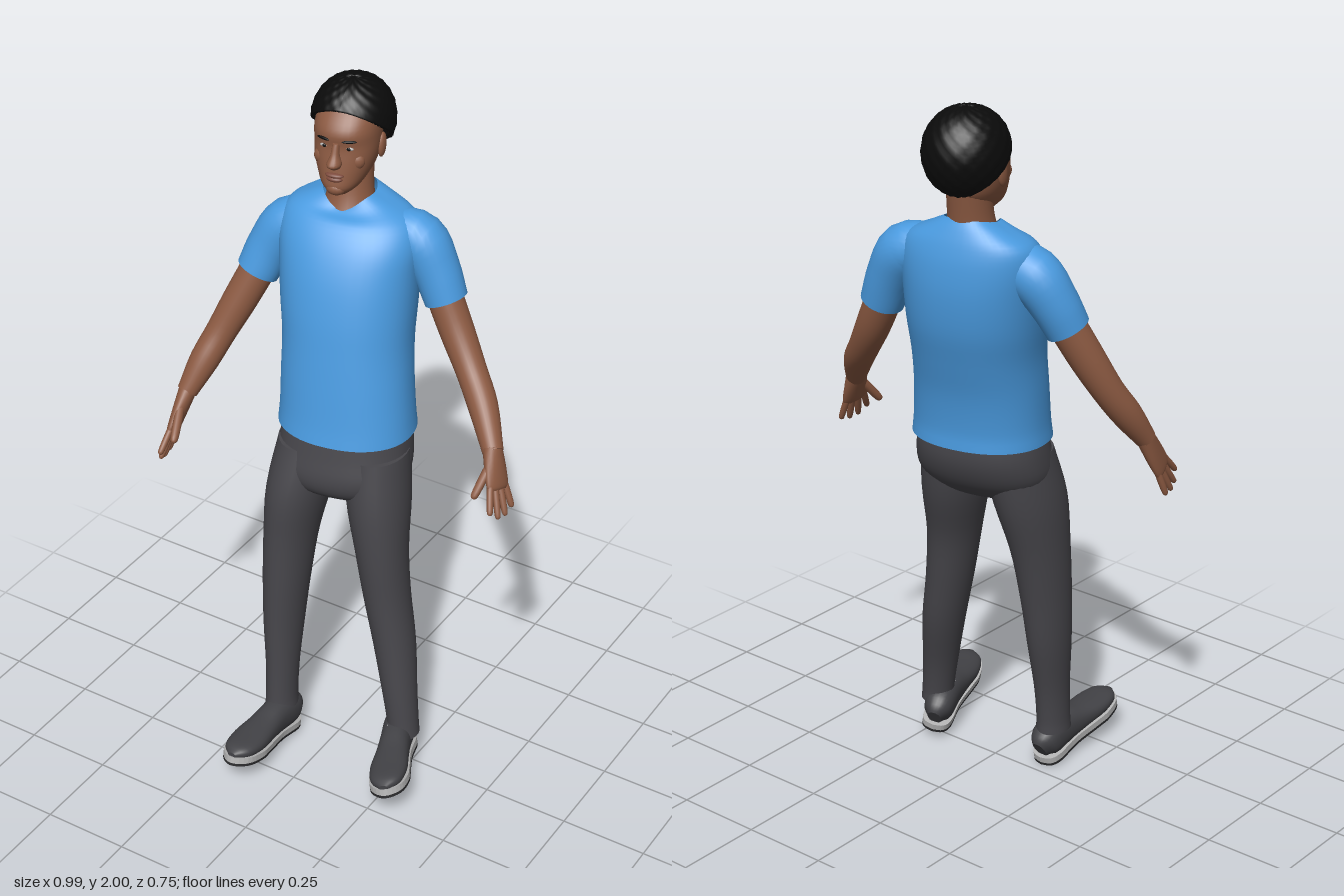
import * as THREE from 'three';

const V3 = (p) => new THREE.Vector3(...p);
const DOWN = new THREE.Vector3(0, -1, 0);

function paint(name, color, side = THREE.FrontSide) {
  const m = new THREE.MeshStandardMaterial({ color, side });
  m.name = name;
  return m;
}

// Smooth skin through rows [x, y, z, halfWidth, halfDepth, frontDip].
// With ref: rings square to the path, width along ref. Without: level rings, listed top down.
function loft(rows, { ref, yaw = 0, power = 2, seg = 28, sub = 4, capStart = true, capEnd = true } = {}) {
  const path = new THREE.CatmullRomCurve3(rows.map((r) => V3(r.slice(0, 3))), false, 'catmullrom', 0.5);
  const size = new THREE.CatmullRomCurve3(rows.map((r) => V3([r[3], r[4], r[5] || 0])), false, 'catmullrom', 0.5);
  const steps = (rows.length - 1) * sub;
  const rings = [];
  for (let i = 0; i <= steps; i++) {
    const t = i / steps, c = path.getPoint(t), s = size.getPoint(t);
    const T = ref ? path.getTangent(t) : DOWN;
    const U = ref ? ref.clone().addScaledVector(T, -ref.dot(T)).normalize()
      : new THREE.Vector3(Math.cos(yaw), 0, -Math.sin(yaw));
    const W = T.clone().cross(U);
    const ring = [];
    for (let j = 0; j < seg; j++) {
      const a = (j / seg) * Math.PI * 2, co = Math.cos(a), si = Math.sin(a);
      const bend = (v) => Math.sign(v) * Math.pow(Math.abs(v), 2 / power);
      const p = c.clone().addScaledVector(U, bend(co) * Math.max(s.x, 0.001))
        .addScaledVector(W, bend(si) * Math.max(s.y, 0.001));
      p.y -= s.z * (si > 0 ? si ** 4 : 0.4 * si);
      ring.push(p);
    }
    rings.push(ring);
  }
  // caps repeat the end ring so that their edge stays crisp
  const cap = (ring) => {
    const mid = ring.reduce((s, p) => s.add(p), new THREE.Vector3()).divideScalar(seg);
    return ring.map(() => mid);
  };
  if (capStart) rings.unshift(cap(rings[0]), rings[0]);
  if (capEnd) { const last = rings[rings.length - 1]; rings.push(last, cap(last)); }
  const index = [];
  for (let i = 0; i < rings.length - 1; i++) {
    for (let j = 0; j < seg; j++) {
      const k = (j + 1) % seg, a = i * seg + j, b = i * seg + k;
      index.push(a, b, b + seg, a, b + seg, a + seg);
    }
  }
  const g = new THREE.BufferGeometry().setFromPoints(rings.flat());
  g.setIndex(index);
  g.computeVertexNormals();
  return g;
}

export function createModel() {
  const model = new THREE.Group();
  const shirt = paint('shirt blue', 0x4a9be0, THREE.DoubleSide);
  const skin = paint('skin brown', 0x8c5a42);
  const lip = paint('lip brown', 0x7c4a3c);
  const cloth = paint('trouser grey', 0x47464b);
  const shoeGrey = paint('shoe grey', 0x424246);
  const pale = paint('midsole pale grey', 0xb4b4b4);
  const dark = paint('outsole dark', 0x2a2a2c);
  const black = paint('hair black', 0x0b0b0b, THREE.DoubleSide);

  const add = (parent, name, geo, mat) => {
    const m = new THREE.Mesh(geo, mat);
    m.name = name;
    parent.add(m);
    return m;
  };
  const blob = (parent, name, mat, p, s) => {
    const m = add(parent, name, new THREE.SphereGeometry(1, 16, 12), mat);
    m.position.set(...p);
    m.scale.set(...s);
    return m;
  };

  // Shirt body, open at the dipped collar
  add(model, 'shirtBody', loft([
    [-0.1, 1.692, -0.215, 0.072, 0.068, 0.036], [-0.097, 1.668, -0.215, 0.122, 0.084, 0.02],
    [-0.09, 1.635, -0.207, 0.18, 0.108, 0], [-0.082, 1.58, -0.192, 0.198, 0.135, 0],
    [-0.075, 1.5, -0.175, 0.194, 0.155, 0], [-0.065, 1.4, -0.155, 0.188, 0.163, 0],
    [-0.053, 1.3, -0.132, 0.181, 0.158, 0], [-0.042, 1.2, -0.11, 0.184, 0.152, 0],
    [-0.032, 1.1, -0.095, 0.189, 0.152, 0], [-0.029, 1.045, -0.09, 0.194, 0.158, 0],
  ], { yaw: 0.18, power: 2.2, seg: 48, capStart: false }), shirt);

  // Neck
  add(model, 'neck', loft([
    [-0.108, 1.79, -0.24, 0.058, 0.062], [-0.103, 1.71, -0.226, 0.06, 0.063],
    [-0.1, 1.66, -0.215, 0.068, 0.069], [-0.098, 1.61, -0.205, 0.085, 0.085],
  ], { yaw: 0.2 }), skin);

  // Head, turned slightly to its left
  const head = new THREE.Group();
  head.name = 'head';
  head.position.set(-0.105, 0, -0.21);
  head.rotation.y = 0.2;
  model.add(head);
  add(head, 'face', loft([
    [0, 1.975, -0.04, 0.04, 0.05], [0, 1.935, -0.028, 0.078, 0.085], [0, 1.89, -0.01, 0.087, 0.1],
    [0, 1.85, -0.006, 0.088, 0.096], [0, 1.81, 0, 0.084, 0.097], [0, 1.77, 0.01, 0.072, 0.094],
    [0, 1.735, 0.03, 0.052, 0.078], [0, 1.712, 0.04, 0.028, 0.045],
  ], { power: 2.2, seg: 36 }), skin);
  add(head, 'nose', loft([
    [0, 1.865, 0.088, 0.009, 0.01], [0, 1.835, 0.096, 0.012, 0.016],
    [0, 1.812, 0.102, 0.02, 0.027], [0, 1.798, 0.096, 0.014, 0.018],
  ], { seg: 16 }), skin);
  blob(head, 'upperLip', lip, [0, 1.777, 0.1, ], [0.026, 0.007, 0.013]);
  blob(head, 'lowerLip', lip, [0, 1.766, 0.1], [0.023, 0.008, 0.013]);
  blob(head, 'chin', skin, [0, 1.735, 0.09], [0.028, 0.02, 0.022]);
  for (const s of [1, -1]) {
    blob(head, 'eye', pale, [s * 0.034, 1.851, 0.082], [0.013, 0.005, 0.005]);
    blob(head, 'iris', black, [s * 0.034, 1.851, 0.0855], [0.0055, 0.005, 0.003]);
    blob(head, 'eyebrow', black, [s * 0.036, 1.873, 0.087], [0.02, 0.004, 0.004]).rotation.y = s * 0.35;
    blob(head, 'cheek', skin, [s * 0.045, 1.81, 0.062], [0.026, 0.026, 0.02]);
    blob(head, 'ear', skin, [s * 0.089, 1.825, -0.02], [0.01, 0.034, 0.02]).rotation.x = -0.2;
  }

  // Hair: bumpy dome whose edge is high in front and low behind
  const hair = new THREE.SphereGeometry(1, 64, 32);
  const pos = hair.attributes.position, uv = hair.attributes.uv;
  for (let i = 0; i < pos.count; i++) {
    const az = (uv.getX(i) % 1) * Math.PI * 2, v = 1 - uv.getY(i);
    const front = Math.cos(az);
    const theta = v * THREE.MathUtils.degToRad(110 - 50 * front);
    const bump = 1 + 0.012 * Math.sin(az * 16) * Math.sin(theta * 17);
    const r = (v > 0.99 ? 0.78 : 1) * bump;
    const sn = Math.pow(Math.max(Math.sin(theta), 0), 0.92) * r;
    pos.setXYZ(i, sn * Math.sin(az) * 0.113, 1.88 + Math.cos(theta) * r * 0.118, -0.045 + sn * front * 0.124);
  }
  hair.computeVertexNormals();
  // SphereGeometry turns the other way round the vertical axis when rebuilt this way
  const probe = new THREE.Vector3().fromBufferAttribute(hair.attributes.normal, 65 * 10);
  const out = new THREE.Vector3().fromBufferAttribute(pos, 65 * 10).sub(new THREE.Vector3(0, 1.88, -0.045));
  if (probe.dot(out) < 0) {
    const ix = hair.index.array;
    for (let i = 0; i < ix.length; i += 3) [ix[i], ix[i + 1]] = [ix[i + 1], ix[i]];
    hair.computeVertexNormals();
  }
  add(head, 'hair', hair, black);

  // Arms: sleeve, arm, palm, fingers and thumb
  function makeArm(name, { sleeve, arm, knuckle, across, thumb }) {
    const g = new THREE.Group();
    g.name = name;
    model.add(g);
    const round = (rows) => rows.map(([x, y, z, r]) => [x, y, z, r, r]);
    const ref = V3(across).normalize();
    add(g, 'sleeve', loft(round(sleeve), { ref }), shirt);
    add(g, 'arm', loft(round(arm), { ref }), skin);
    const wrist = V3(arm[arm.length - 1].slice(0, 3)), kn = V3(knuckle);
    const axis = kn.clone().sub(wrist).normalize();
    const side = ref.clone().addScaledVector(axis, -ref.dot(axis)).normalize();
    const row = (p, a, b) => [p.x, p.y, p.z, a, b];
    const mid = wrist.clone().lerp(kn, 0.55);
    add(g, 'palm', loft([
      row(wrist.clone().addScaledVector(axis, -0.015), 0.028, 0.026), row(mid, 0.039, 0.02),
      row(kn, 0.041, 0.015), row(kn.clone().addScaledVector(axis, 0.012), 0.034, 0.009),
    ], { ref: side, seg: 20 }), skin);
    const digit = (label, a, b, r) => add(g, label, loft([
      row(a, r, r), row(a.clone().lerp(b, 0.5), r, r), row(a.clone().lerp(b, 0.9), r * 0.85, r * 0.85),
      row(b, r * 0.35, r * 0.35),
    ], { ref: side, seg: 10, sub: 3 }), skin);
    [0.075, 0.09, 0.086, 0.068].forEach((len, i) => {
      const s = 1.5 - i;
      const base = kn.clone().addScaledVector(side, s * 0.02);
      digit('finger', base, base.clone().addScaledVector(axis, len).addScaledVector(side, s * 0.011), 0.0095);
    });
    digit('thumb', wrist.clone().lerp(kn, 0.35).addScaledVector(side, 0.018), V3(thumb), 0.0125);
  }
  makeArm('rightArm', {
    sleeve: [[-0.18, 1.585, -0.18, 0.06], [-0.258, 1.56, -0.165, 0.073], [-0.305, 1.49, -0.14, 0.066], [-0.333, 1.415, -0.112, 0.06]],
    arm: [[-0.32, 1.45, -0.125, 0.05], [-0.368, 1.33, -0.075, 0.048], [-0.405, 1.235, -0.03, 0.043],
      [-0.43, 1.16, 0.02, 0.041], [-0.452, 1.08, 0.075, 0.029]],
    knuckle: [-0.462, 0.985, 0.135], across: [0.3, 0.5, 0.8], thumb: [-0.415, 0.99, 0.2],
  });
  makeArm('leftArm', {
    sleeve: [[0.02, 1.595, -0.23, 0.06], [0.095, 1.575, -0.25, 0.073], [0.145, 1.5, -0.253, 0.066], [0.182, 1.415, -0.25, 0.06]],
    arm: [[0.165, 1.45, -0.25, 0.05], [0.225, 1.34, -0.235, 0.048], [0.29, 1.25, -0.205, 0.043],
      [0.355, 1.18, -0.16, 0.041], [0.425, 1.095, -0.095, 0.029]],
    knuckle: [0.458, 1.015, -0.066], across: [-0.25, 0.3, 0.93], thumb: [0.42, 0.995, 0],
  });

  // Trousers
  add(model, 'trouserSeat', loft([
    [-0.028, 1.08, -0.09, 0.172, 0.138], [-0.027, 1.0, -0.082, 0.186, 0.146],
    [-0.022, 0.93, -0.062, 0.188, 0.138], [-0.02, 0.88, -0.045, 0.15, 0.105], [-0.02, 0.845, -0.035, 0.07, 0.045],
  ], { yaw: 0.2, power: 2.3, seg: 40 }), cloth);
  add(model, 'rightTrouserLeg', loft([
    [-0.115, 1.0, -0.05, 0.09, 0.118], [-0.134, 0.85, -0.012, 0.088, 0.122], [-0.148, 0.7, 0.015, 0.074, 0.1],
    [-0.153, 0.55, 0.035, 0.065, 0.086], [-0.155, 0.4, 0.05, 0.056, 0.075], [-0.15, 0.25, 0.07, 0.046, 0.06],
    [-0.148, 0.15, 0.08, 0.044, 0.056], [-0.147, 0.105, 0.083, 0.046, 0.058],
  ], { yaw: 0.05 }), cloth);
  add(model, 'leftTrouserLeg', loft([
    [0.072, 1.0, -0.085, 0.09, 0.118], [0.092, 0.85, -0.06, 0.09, 0.117], [0.118, 0.7, -0.035, 0.075, 0.095],
    [0.141, 0.55, -0.028, 0.067, 0.082], [0.172, 0.4, -0.02, 0.061, 0.072], [0.203, 0.25, 0, 0.051, 0.056],
    [0.22, 0.15, 0.008, 0.046, 0.05], [0.224, 0.11, 0.01, 0.047, 0.052],
  ], { yaw: 0.3 }), cloth);

  // Shoes: upper, pale midsole, dark outsole, lace dots
  const half = [[0.03, -0.054], [0.043, -0.02], [0.041, 0.06], [0.052, 0.15], [0.056, 0.2], [0.042, 0.258]];
  const outline = new THREE.SplineCurve([
    [0, -0.064], ...half, [0, 0.288], ...half.map(([x, z]) => [-x, z]).reverse(), [0, -0.064],
  ].map((p) => new THREE.Vector2(...p))).getPoints(56);
  outline.pop();
  const slab = (y, h) => new THREE.ExtrudeGeometry(new THREE.Shape(outline), { depth: h, bevelEnabled: false })
    .rotateX(Math.PI / 2).translate(0, y + h, 0);
  function makeShoe(name, position, [pitch, yaw, roll]) {
    const g = new THREE.Group();
    g.name = name;
    g.position.set(...position);
    g.rotation.set(pitch, yaw, roll, 'YXZ');
    model.add(g);
    add(g, 'upper', loft([
      [0, 0.05, -0.059, 0.02, 0.03], [0, 0.06, -0.035, 0.04, 0.048], [0, 0.066, 0, 0.044, 0.056],
      [0, 0.06, 0.06, 0.043, 0.05], [0, 0.05, 0.12, 0.047, 0.038], [0, 0.041, 0.19, 0.053, 0.028],
      [0, 0.035, 0.25, 0.042, 0.02], [0, 0.03, 0.282, 0.012, 0.008],
    ], { ref: new THREE.Vector3(1, 0, 0), power: 2.3 }), shoeGrey);
    add(g, 'midsole', slab(0.008, 0.018), pale);
    add(g, 'outsole', slab(0, 0.008), dark);
    for (let i = 0; i < 5; i++) {
      for (const s of [1, -1]) {
        blob(g, 'laceDot', pale, [s * 0.018, 0.108 - i * 0.0068, 0.055 + i * 0.018], [0.003, 0.002, 0.002]);
      }
    }
  }
  makeShoe('rightShoe', [-0.141, 0.014, 0.095], [-0.22, 0.02, 0]);
  makeShoe('leftShoe', [0.222, 0.034, 0.012], [-0.2, 0.36, 0.18]);

  return model;
}
